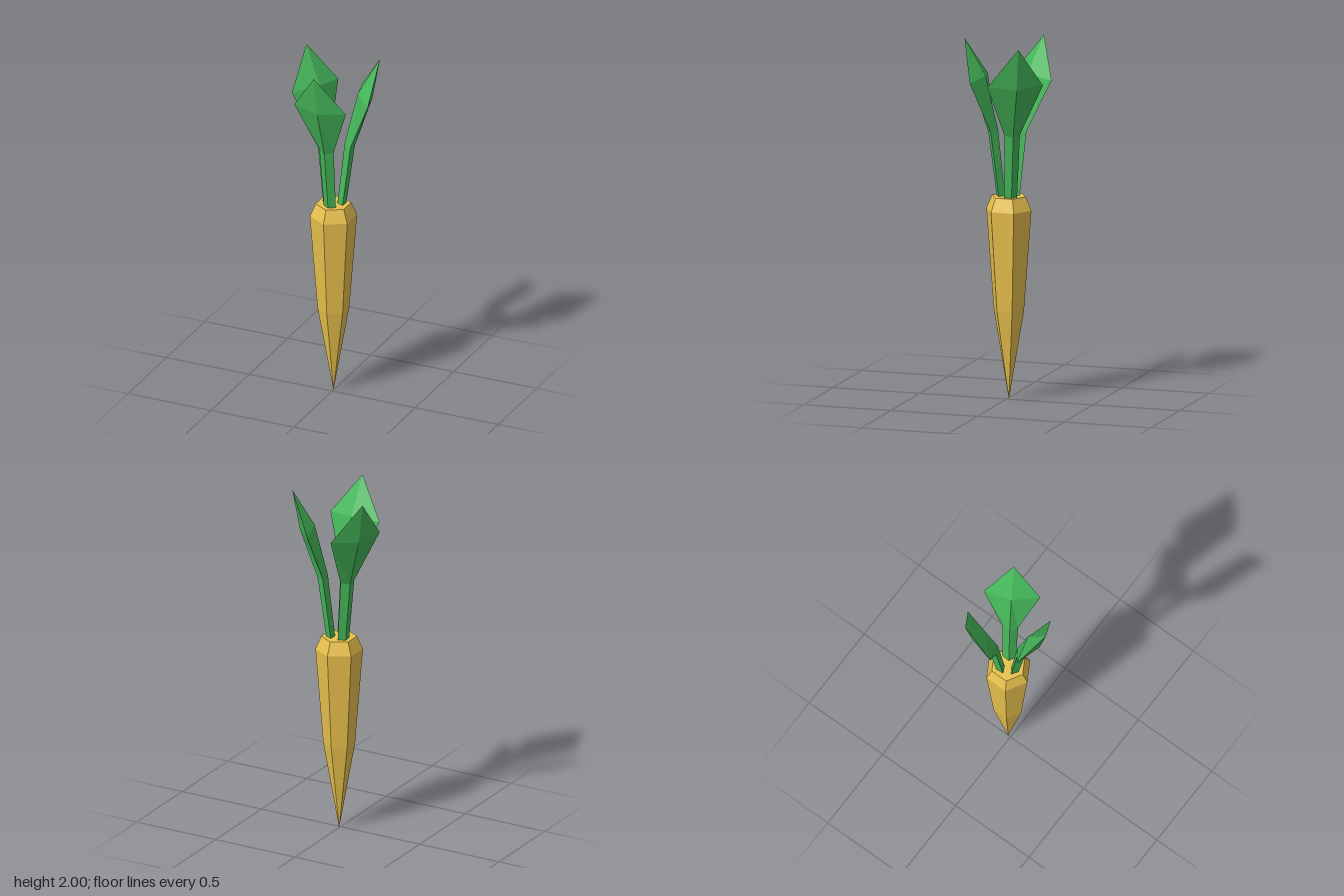
import * as THREE from 'three';

const CENTRE_Z = -0.015;

// Six-sided root, turned from a short profile
function makeRoot(material) {
  const profile = [[0, 0], [0.087, 0.5], [0.13, 1.06], [0.098, 1.135], [0, 1.135]]
    .map(([r, y]) => new THREE.Vector2(r, y));
  const root = new THREE.Mesh(new THREE.LatheGeometry(profile, 6), material);
  root.name = 'root';
  return root;
}

// Leaf: diamond cross-sections lofted outward along +z, closing in a point
function leafGeometry() {
  // y, z of the sides, half width, half thickness, tilt (inner ridge raised)
  const sections = [
    [1.13, 0.046, 0.036, 0.024, 0],
    [1.49, 0.090, 0.043, 0.028, 0.008],
    [1.78, 0.174, 0.155, 0.040, 0.015],
    [2.0, 0.256, 0, 0, 0],
  ];
  const positions = [];
  const indices = [];
  for (const [y, z, w, t, tilt] of sections) {
    positions.push(0, y - tilt, z + t, w, y, z, 0, y + tilt, z - t, -w, y, z);
  }
  for (let s = 0; s < sections.length - 1; s++) {
    for (let i = 0; i < 4; i++) {
      const a = s * 4 + i;
      const b = s * 4 + (i + 1) % 4;
      indices.push(a, b, a + 4);
      if (s < sections.length - 2) indices.push(b, b + 4, a + 4);
    }
  }
  indices.push(0, 2, 1, 0, 3, 2); // underside of the stem
  const geometry = new THREE.BufferGeometry();
  geometry.setAttribute('position', new THREE.Float32BufferAttribute(positions, 3));
  geometry.setIndex(indices);
  geometry.computeVertexNormals();
  return geometry;
}

export function createModel() {
  const rootMaterial = new THREE.MeshStandardMaterial({ color: 0xe9c14d, flatShading: true });
  const leafMaterial = new THREE.MeshStandardMaterial({ color: 0x45b85a, flatShading: true });

  const model = new THREE.Group();
  model.name = 'carrot';
  const body = new THREE.Group();
  body.name = 'body';
  body.position.z = CENTRE_Z;
  model.add(body);
  body.add(makeRoot(rootMaterial));

  // Three leaves evenly around the crown
  const geometry = leafGeometry();
  ['frontLeaf', 'leftLeaf', 'rightLeaf'].forEach((name, i) => {
    const leaf = new THREE.Mesh(geometry, leafMaterial);
    leaf.name = name;
    leaf.rotation.y = (i * Math.PI * 2) / 3;
    body.add(leaf);
  });
  return model;
}
